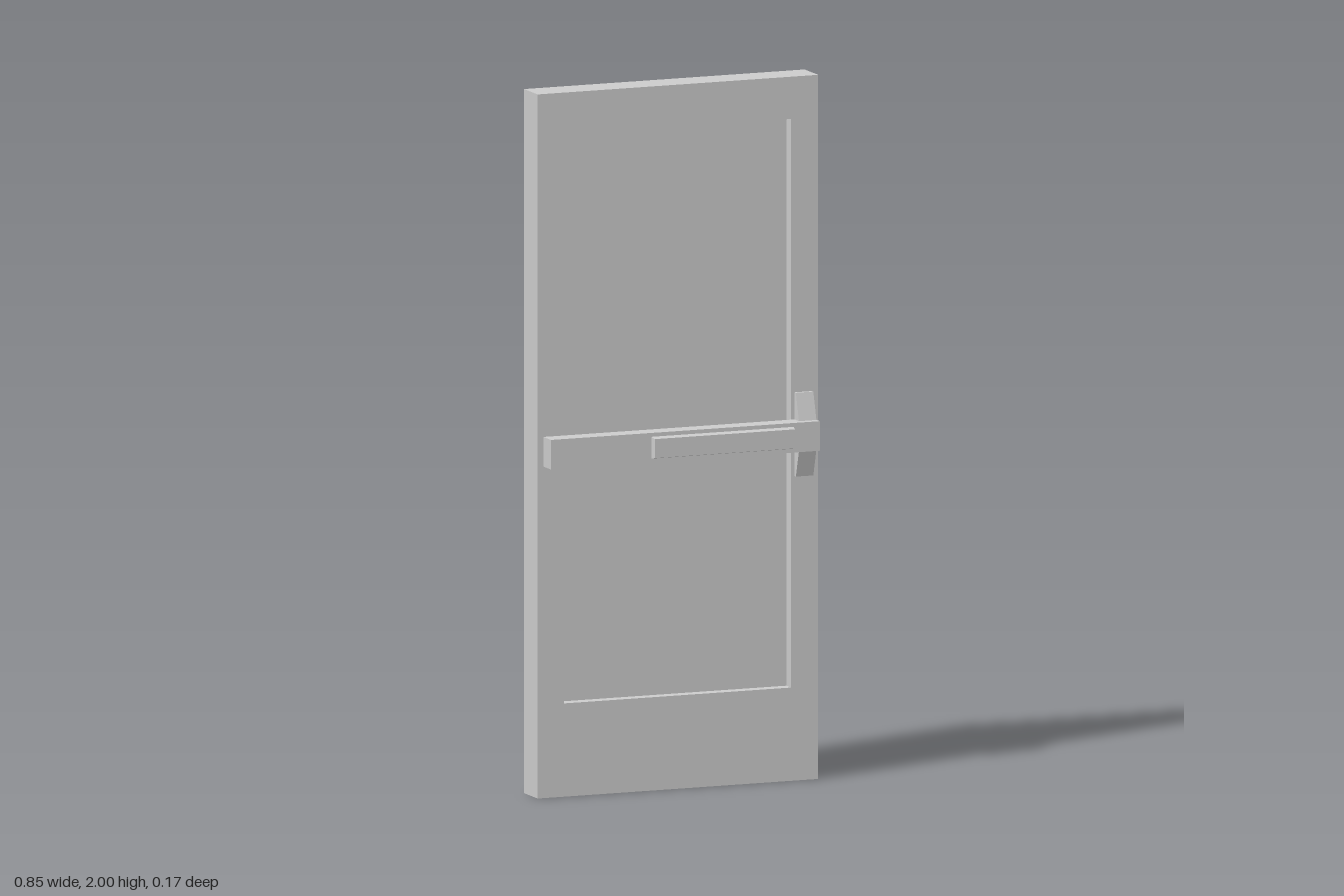
import * as THREE from 'three';

const material = new THREE.MeshStandardMaterial({ color: 0xcccccc, flatShading: true });

function add(group, name, geometry) {
  const mesh = new THREE.Mesh(geometry, material);
  mesh.name = name;
  group.add(mesh);
  return mesh;
}

// Box given by its low and high limits on each axis
function boxBetween([x0, x1], [y0, y1], [z0, z1]) {
  const g = new THREE.BoxGeometry(x1 - x0, y1 - y0, z1 - z0);
  return g.translate((x0 + x1) / 2, (y0 + y1) / 2, (z0 + z1) / 2);
}

function rectangle(Type, x0, x1, y0, y1) {
  return new Type([[x0, y0], [x1, y0], [x1, y1], [x0, y1]].map(p => new THREE.Vector2(...p)));
}

export function createModel() {
  const door = new THREE.Group();
  door.name = 'door';
  const back = -0.087, front = 0.011, midY = 0.984;

  // Door leaf with a tall window opening
  const leaf = rectangle(THREE.Shape, -0.427, 0.425, 0, 2);
  leaf.holes.push(rectangle(THREE.Path, -0.347, 0.343, 0.265, 1.88));
  const frame = new THREE.ExtrudeGeometry(leaf, { depth: front - back, bevelEnabled: false });
  add(door, 'doorFrame', frame.translate(0, 0, back));

  // Thin pane, set nearer the front face
  add(door, 'windowPane', boxBetween([-0.347, 0.343], [0.265, 1.88], [-0.026, -0.023]));

  // Panic bar housing
  const bar = new THREE.Group();
  bar.name = 'panicBar';
  door.add(bar);
  add(bar, 'barHousing', boxBetween([-0.41, 0.407], [midY - 0.042, midY + 0.042], [front, 0.066]));

  // Push pad, its front face slightly smaller than its base
  const pad = boxBetween([-0.105, 0.327], [midY - 0.031, midY + 0.031], [0.066, 0.084]);
  const p = pad.attributes.position;
  for (let i = 0; i < p.count; i++) {
    if (p.getZ(i) < 0.08) continue;
    p.setX(i, p.getX(i) - Math.sign(p.getX(i)) * 0.003);
    p.setY(i, p.getY(i) - Math.sign(p.getY(i) - midY) * 0.004);
  }
  pad.computeVertexNormals();
  add(bar, 'pushPad', pad);

  // Latch cover with wedge ends above and below the bar
  const profile = [[front, -0.119], [0.021, -0.119], [0.044, -0.04], [0.044, 0.04], [0.021, 0.119], [front, 0.119]];
  const side = new THREE.Shape(profile.map(([z, y]) => new THREE.Vector2(-z, y)));
  const cover = new THREE.ExtrudeGeometry(side, { depth: 0.053, bevelEnabled: false });
  cover.rotateY(Math.PI / 2).translate(0.353, midY, 0);
  add(bar, 'latchCover', cover);

  return door;
}
